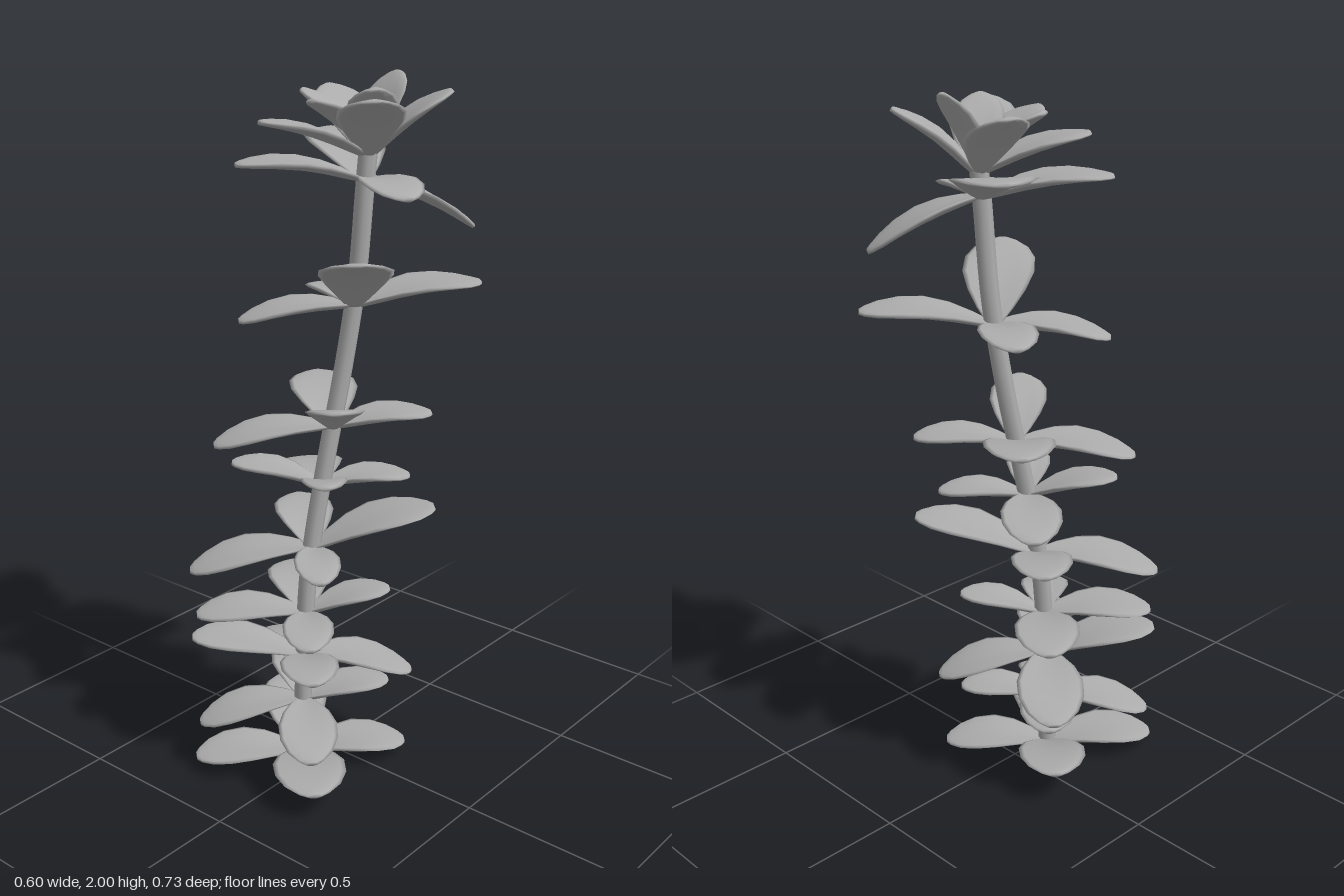
import * as THREE from 'three';

const V = (x, y, z) => new THREE.Vector3(x, y, z);
const material = new THREE.MeshStandardMaterial({ color: 0xacacac });

// Gently leaning stem
const stemCurve = new THREE.CatmullRomCurve3([
  V(-0.04, 0, 0.1), V(-0.04, 0.3, 0.09), V(-0.037, 0.6, 0.07), V(-0.02, 0.9, 0.02),
  V(0.005, 1.2, -0.035), V(0.028, 1.45, -0.065), V(0.045, 1.7, -0.075), V(0.05, 1.82, -0.085),
]);

// Stem centre at a given height
function stemAt(y) {
  let lo = 0, hi = 1;
  for (let i = 0; i < 24; i++) {
    const mid = (lo + hi) / 2;
    if (stemCurve.getPoint(mid).y < y) lo = mid; else hi = mid;
  }
  return stemCurve.getPoint(lo);
}

// Leaf outline: [distance along leaf, relative width]
const OUTLINE = [[0, 0.24], [0.12, 0.5], [0.3, 0.8], [0.5, 1], [0.7, 0.98],
  [0.86, 0.76], [0.96, 0.44], [1, 0.2]];
const RING = 12;

// Fleshy arched leaf, lofted from flattened rings between base and tip
function leafGeometry(base, tip) {
  const f = tip.clone().sub(base);
  const len = f.length();
  f.normalize();
  const s = V(0, 1, 0).cross(f).normalize();
  const n = f.clone().cross(s);
  const halfWidth = len * 0.31;
  const pos = [], index = [];

  OUTLINE.forEach(([t, w]) => {
    const thick = 0.012 * (0.45 + 0.55 * w);
    const arch = 0.07 * len * Math.sin(Math.PI * t);
    for (let j = 0; j < RING; j++) {
      const a = (j / RING) * Math.PI * 2;
      const u = Math.cos(a);
      // Channelled near the stem, flattening towards the tip
      const cup = 0.03 * w * (1 - t) * (u * u - 0.5);
      const p = base.clone().addScaledVector(f, t * len)
        .addScaledVector(s, u * w * halfWidth)
        .addScaledVector(n, Math.sin(a) * thick + cup + arch);
      pos.push(p.x, p.y, p.z);
    }
  });
  const rows = OUTLINE.length;
  for (let i = 0; i < rows - 1; i++) {
    for (let j = 0; j < RING; j++) {
      const k = (j + 1) % RING;
      const a = i * RING + j, b = i * RING + k, c = a + RING, d = b + RING;
      index.push(a, b, d, a, d, c);
    }
  }
  // Close both ends
  const last = (rows - 1) * RING;
  for (let j = 1; j < RING - 1; j++) {
    index.push(0, j + 1, j, last, last + j, last + j + 1);
  }
  const g = new THREE.BufferGeometry();
  g.setAttribute('position', new THREE.Float32BufferAttribute(pos, 3));
  g.setIndex(index);
  g.computeVertexNormals();
  return g;
}

// Whorls of four: node height, then the reach of each leaf
// (-x +z, +x +z, -x -z, +x -z)
const WHORLS = [
  [0.03, [-0.25, 0.04, 0.36], [0.22, 0.085, 0.345], [-0.29, 0.11, -0.12], [0.18, 0.035, -0.14]],
  [0.2, [-0.26, 0.14, 0.33], [0.17, 0.145, 0.3], [-0.25, 0.23, -0.11], [0.13, 0.235, -0.12]],
  [0.345, [-0.27, 0.42, 0.34], [0.17, 0.39, 0.29], [-0.29, 0.275, -0.13], [0.185, 0.27, -0.16]],
  [0.48, [-0.27, 0.485, 0.32], [0.14, 0.475, 0.27], [-0.28, 0.5, -0.14], [0.14, 0.54, -0.11]],
  [0.68, [-0.29, 0.62, 0.32], [0.14, 0.66, 0.22], [-0.26, 0.73, -0.14], [0.23, 0.79, -0.2]],
  [0.87, [-0.23, 0.93, 0.2], [0.13, 0.93, 0.19], [-0.25, 0.84, -0.17], [0.16, 0.88, -0.17]],
  [1.035, [-0.25, 0.99, 0.25], [0.17, 1.15, 0.19], [-0.26, 1.1, -0.23], [0.18, 1.055, -0.24]],
  [1.38, [-0.21, 1.34, 0.18], [0.22, 1.55, 0.17], [-0.22, 1.38, -0.2], [0.25, 1.425, -0.36]],
  [1.725, [-0.18, 1.77, 0.21], [0.3, 1.71, 0.06], [-0.26, 1.815, -0.29], [0.24, 1.585, -0.33]],
  [1.79, [-0.12, 1.88, 0.18], [0.23, 1.95, 0.12], [-0.17, 1.95, -0.17], [0.21, 1.95, -0.26]],
];
// Upright heart leaves at the crown
const CROWN = [1.815, [-0.14, 1.95, -0.01], [0.03, 1.94, 0.14], [0.06, 1.995, -0.215], [0.17, 1.97, 0.04]];

function addWhorl([y, ...reaches], name) {
  const whorl = new THREE.Group();
  whorl.name = name;
  const node = stemAt(y);
  reaches.forEach(r => {
    const tip = V(...r);
    // Draw the tip in a little so the broad end fills the reach
    const inward = V(node.x - tip.x, 0, node.z - tip.z).normalize();
    tip.addScaledVector(inward, 0.016);
    const base = node.clone().addScaledVector(inward, -0.012);
    const leaf = new THREE.Mesh(leafGeometry(base, tip), material);
    leaf.name = 'leaf';
    whorl.add(leaf);
  });
  return whorl;
}

export function createModel() {
  const model = new THREE.Group();
  model.name = 'succulentStem';

  const stem = new THREE.Mesh(new THREE.TubeGeometry(stemCurve, 32, 0.026, 8), material);
  stem.name = 'stem';
  model.add(stem);

  // Flat caps on the stem ends
  [[0, Math.PI / 2, 'stemBase'], [1, -Math.PI / 2, 'stemTop']].forEach(([t, turn, name]) => {
    const cap = new THREE.Mesh(new THREE.CircleGeometry(0.026, 8), material);
    cap.name = name;
    cap.rotation.x = turn;
    cap.position.copy(stemCurve.getPoint(t));
    model.add(cap);
  });

  WHORLS.forEach((w, i) => model.add(addWhorl(w, 'leafWhorl' + (i + 1))));
  model.add(addWhorl(CROWN, 'crownLeaves'));
  return model;
}
